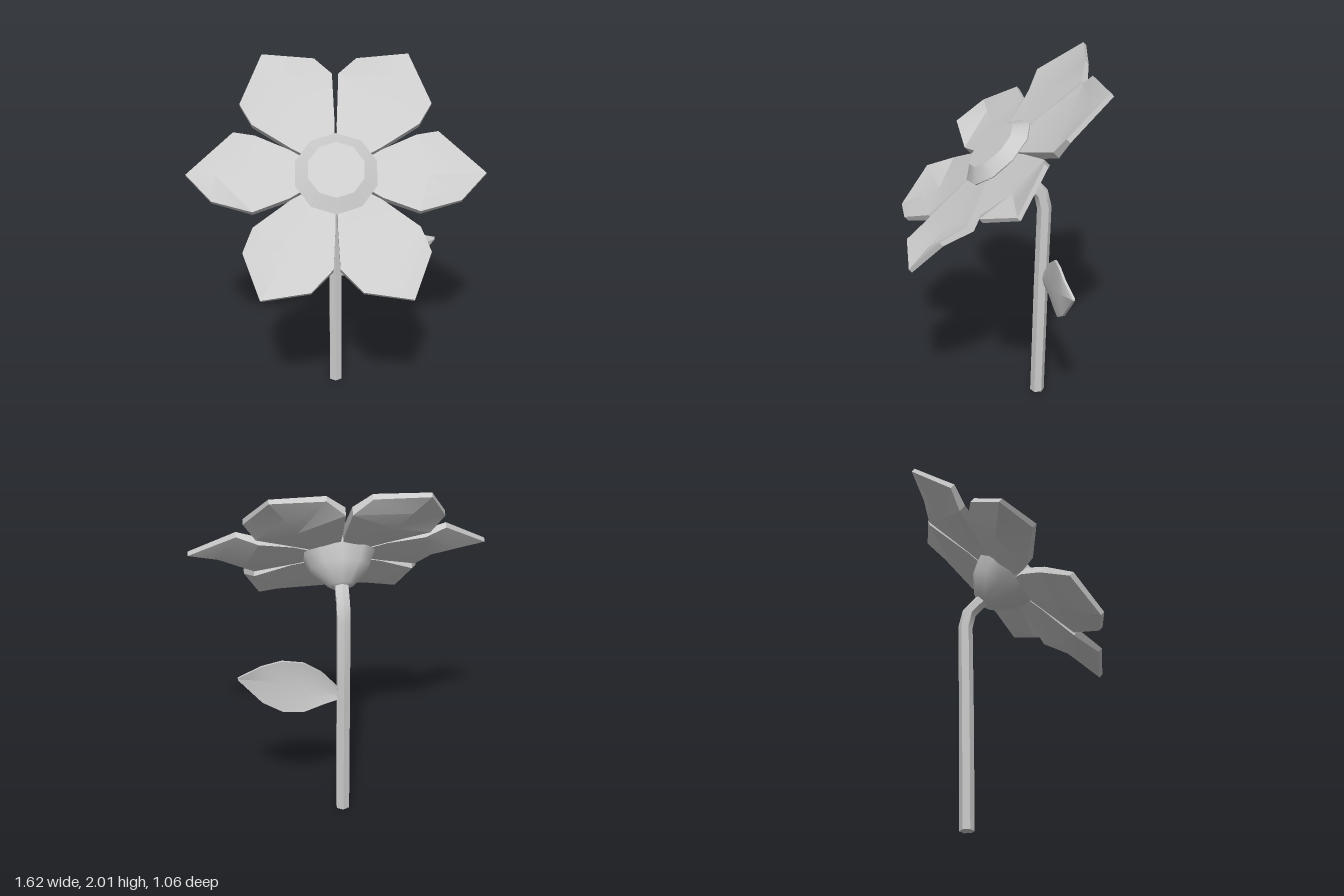
import * as THREE from 'three';
import { toCreasedNormals } from 'three/addons/utils/BufferGeometryUtils.js';

const grey = new THREE.MeshStandardMaterial({ color: 0xcccccc });

function part(name, geometry, parent) {
  const mesh = new THREE.Mesh(geometry, grey);
  mesh.name = name;
  parent.add(mesh);
  return mesh;
}

// Skin through rings of equal point count (counter-clockwise around the path), capped at both ends
function loft(rings, crease) {
  const n = rings[0].length;
  const positions = rings.flat(2);
  const index = [];
  for (let i = 0; i < rings.length - 1; i++) {
    for (let j = 0; j < n; j++) {
      const a = i * n + j, b = i * n + (j + 1) % n;
      index.push(a, b, b + n, a, b + n, a + n);
    }
  }
  const last = (rings.length - 1) * n;
  for (let j = 1; j < n - 1; j++) {
    index.push(0, j + 1, j, last, last + j, last + j + 1);
  }
  const geometry = new THREE.BufferGeometry();
  geometry.setAttribute('position', new THREE.Float32BufferAttribute(positions, 3));
  geometry.setIndex(index);
  return toCreasedNormals(geometry, crease);
}

// Petal running along +x, thickness in z; each side gives [waist, shoulder] as [r, t, n]
function petalGeometry(plus, minus) {
  const ring = (p, m, mid, thick) => [
    [p[0], p[1], p[2] - thick], p, [mid[0], 0, mid[1]],
    m, [m[0], m[1], m[2] - thick], [mid[0], 0, mid[2]]
  ];
  return loft([
    ring([0.12, 0.06, 0], [0.12, -0.06, 0], [0.12, 0, -0.06], 0.06),
    ring([0.25, 0.138, 0], [0.25, -0.138, 0], [0.25, -0.005, -0.07], 0.055),
    ring(plus[0], minus[0], [0.5, -0.02, -0.085], 0.045),
    ring(plus[1], minus[1], [0.65, -0.01, -0.055], 0.03),
    ring([0.81, 0, 0], [0.81, 0, 0], [0.81, 0, -0.025], 0.025)
  ], 0.4);
}

export function createModel() {
  const model = new THREE.Group();
  model.name = 'flower';

  // Bent six-sided stem: centre y, z and tilt of each ring
  const stemPath = [
    [0, -0.23, 0], [0.7, -0.243, 0], [1.2, -0.255, 0.1],
    [1.29, -0.235, 0.45], [1.36, -0.17, 0.85], [1.41, -0.11, 0.9]
  ];
  const stemRings = stemPath.map(([y, z, tilt]) =>
    Array.from({ length: 6 }, (_, k) => {
      const a = k * Math.PI / 3;
      const w = 0.041 * Math.cos(a);
      return [0.041 * Math.sin(a), y - w * Math.sin(tilt), z + w * Math.cos(tilt)];
    }));
  part('stem', loft(stemRings, 0.5), model);

  // Leaf folded along its midrib: x, top y, mid y, bottom y, edge z, mid z
  const leafSections = [
    [0.02, 0.79, 0.76, 0.73, -0.25, -0.245],
    [0.12, 0.91, 0.785, 0.71, -0.27, -0.25],
    [0.22, 0.98, 0.82, 0.68, -0.282, -0.26],
    [0.34, 1.0, 0.855, 0.69, -0.285, -0.268],
    [0.45, 0.98, 0.89, 0.76, -0.295, -0.285],
    [0.58, 0.935, 0.93, 0.925, -0.325, -0.322]
  ];
  const leafRings = leafSections.map(([x, top, mid, low, ez, mz]) => [
    [x, top, ez - 0.014], [x, top, ez], [x, mid, mz],
    [x, low, ez], [x, low, ez - 0.014], [x, mid, mz - 0.014]
  ]);
  part('leaf', loft(leafRings, 0.5), model);

  // Blossom, tilted to look up and forward
  const blossom = new THREE.Group();
  blossom.name = 'blossom';
  blossom.position.set(0, 1.54, 0);
  blossom.rotation.x = -0.837;
  model.add(blossom);

  // Three petals on the +x side, each mirrored to -x
  const petals = [
    { name: 'upperPetal', angle: Math.PI / 3,
      plus: [[0.52, 0.28, -0.015], [0.635, 0.232, 0.02]],
      minus: [[0.48, -0.25, -0.015], [0.605, -0.255, 0.02]] },
    { name: 'sidePetal', angle: 0,
      plus: [[0.44, 0.23, -0.02], [0.556, 0.237, 0.012]],
      minus: [[0.45, -0.21, -0.015], [0.663, -0.175, 0.065]] },
    { name: 'lowerPetal', angle: -Math.PI / 3,
      plus: [[0.48, 0.24, -0.015], [0.64, 0.205, 0.04]],
      minus: [[0.47, -0.25, -0.01], [0.648, -0.215, 0.03]] }
  ];
  const flip = side => side.map(([r, t, n]) => [r, -t, n]);
  for (const { name, angle, plus, minus } of petals) {
    part(name + 'Left', petalGeometry(plus, minus), blossom).rotation.z = angle;
    part(name + 'Right', petalGeometry(flip(minus), flip(plus)), blossom).rotation.z = Math.PI - angle;
  }

  // Ten-sided centre: rounded cup behind, bevelled rim and flat face in front
  const lathe = points => new THREE.LatheGeometry(
    points.map(([r, h]) => new THREE.Vector2(r, h)), 10).rotateX(Math.PI / 2);
  part('cup', lathe([[0, -0.25], [0.07, -0.235], [0.165, -0.14], [0.232, 0.005]]), blossom);
  part('centreRim', lathe([[0.232, 0.005], [0.158, 0.063]]), blossom);
  part('centreFace', new THREE.CircleGeometry(0.158, 10, Math.PI / 2), blossom).position.z = 0.063;

  return model;
}
